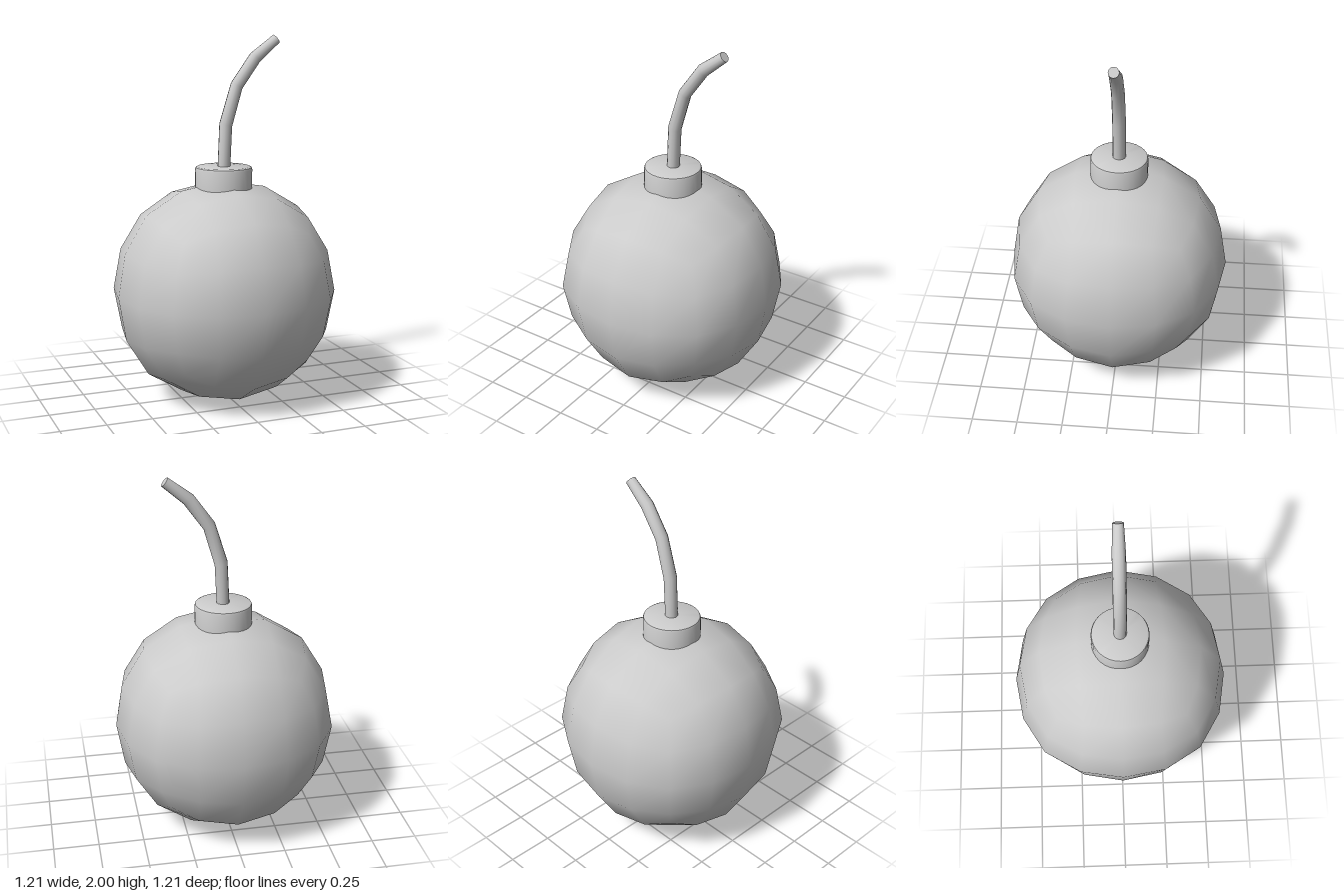
import * as THREE from 'three';
import { mergeVertices, toCreasedNormals } from 'three/addons/utils/BufferGeometryUtils.js';

const material = new THREE.MeshStandardMaterial({ color: 0xcccccc });

function addPart(group, name, geometry) {
  const mesh = new THREE.Mesh(geometry, material);
  mesh.name = name;
  group.add(mesh);
  return mesh;
}

// Ball: a 4x4x4 box rounded like a twice-subdivided cube.
// Keys are the two smaller grid steps; values are the matching coordinates, largest first.
function ballGeometry() {
  const rounded = {
    '00': [0.605, 0, 0],
    '10': [0.565, 0.241, 0],
    '20': [0.443, 0.443, 0],
    '11': [0.526, 0.225, 0.225],
    '21': [0.413, 0.413, 0.208],
    '22': [0.351, 0.351, 0.351],
  };
  let geo = new THREE.BoxGeometry(4, 4, 4, 4, 4, 4);
  geo.deleteAttribute('normal');
  geo.deleteAttribute('uv');
  geo = mergeVertices(geo);
  const pos = geo.attributes.position;
  for (let i = 0; i < pos.count; i++) {
    const p = [pos.getX(i), pos.getY(i), pos.getZ(i)].map(Math.round);
    const steps = p.map(Math.abs).sort((a, b) => b - a);
    const values = rounded[`${steps[1]}${steps[2]}`];
    pos.setXYZ(i, ...p.map((v) => Math.sign(v) * values[steps.indexOf(Math.abs(v))]));
  }
  geo.computeVertexNormals();
  return geo;
}

// Fuse: a cylinder whose rings are moved along a bend, tilted and tapered.
function fuseGeometry() {
  // x, y, tilt, radius
  const rings = [
    [0, 1.25, 0.03, 0.035],
    [0.012, 1.52, 0.27, 0.036],
    [0.075, 1.73, 0.52, 0.035],
    [0.183, 1.88, 0.76, 0.035],
    [0.306, 1.978, 0.9, 0.028],
  ];
  const last = rings.length - 1;
  const geo = new THREE.CylinderGeometry(1, 1, last, 12, last);
  const pos = geo.attributes.position;
  for (let i = 0; i < pos.count; i++) {
    const [x, y, tilt, r] = rings[Math.round(pos.getY(i) + last / 2)];
    const across = pos.getX(i) * r;
    pos.setXYZ(i, x + across * Math.cos(tilt), y - across * Math.sin(tilt), pos.getZ(i) * r);
  }
  return toCreasedNormals(geo, 0.9);
}

export function createModel() {
  const group = new THREE.Group();
  group.name = 'bomb';

  addPart(group, 'ball', ballGeometry()).position.y = 0.608;

  // Cap with a small bevelled rim
  const profile = [[0, 1.14], [0.156, 1.14], [0.156, 1.28], [0.152, 1.291], [0.142, 1.296], [0, 1.296]];
  const cap = new THREE.LatheGeometry(profile.map(([x, y]) => new THREE.Vector2(x, y)), 32);
  addPart(group, 'cap', toCreasedNormals(cap, 0.7));

  addPart(group, 'fuse', fuseGeometry());
  return group;
}
